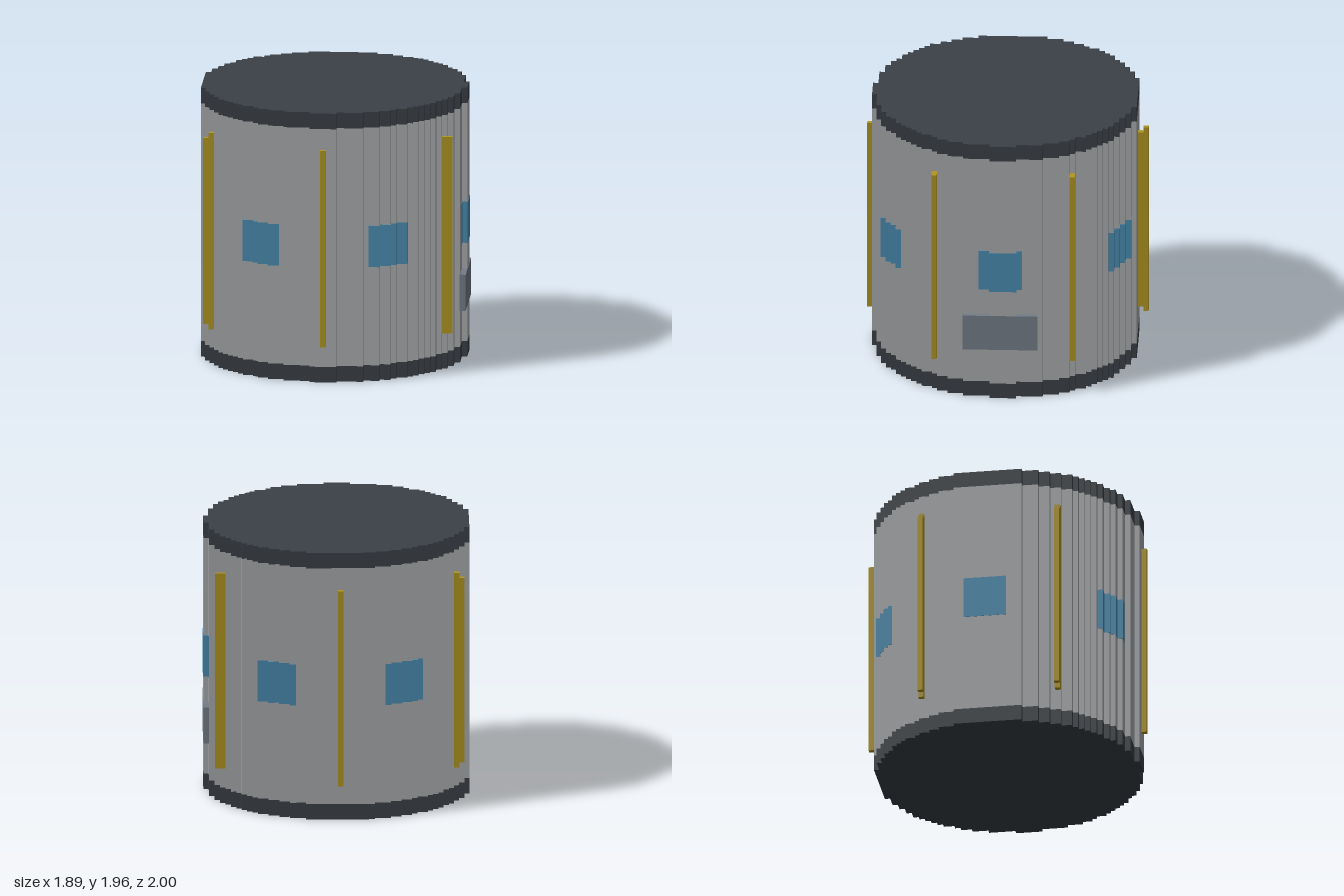
import * as THREE from 'three';

const V = 2 / 53;            // size of one voxel
const OFF = 0.1, R2 = 627;   // centre offset and squared radius of the drum, in voxels

const mat = (name, color) => {
  const m = new THREE.MeshStandardMaterial({ color });
  m.name = name;
  return m;
};

// last cell inside the drum on row k, on the plus or minus side
const reach = (k, side) => {
  const h = Math.sqrt(R2 - (k - OFF) ** 2);
  return side > 0 ? Math.floor(OFF + h) : Math.ceil(OFF - h);
};

// stepped round outline, walked up one side and down the other
function drumShape() {
  const right = [], left = [];
  for (let k = -24; k <= 25; k++) {
    for (const z of [k - 0.5, k + 0.5]) {
      right.push(new THREE.Vector2(reach(k, 1) * V, -z * V));
      left.push(new THREE.Vector2((reach(k, -1) - 1) * V, -z * V));
    }
  }
  return new THREE.Shape([...right, ...left.reverse()]);
}

export function createModel() {
  const model = new THREE.Group();
  model.name = 'voxelDrum';
  const dark = mat('dark cap', 0x3b4047);
  const grey = mat('hull grey', 0xaaacaf);
  const gold = mat('gold rail', 0xb29722);
  const blue = mat('window blue', 0x4a8db2);
  const steel = mat('panel steel', 0x747e88);

  const shape = drumShape();
  const drum = (name, y0, y1, material) => {
    const geo = new THREE.ExtrudeGeometry(shape, { depth: (y1 - y0) * V, bevelEnabled: false });
    geo.rotateX(-Math.PI / 2);
    geo.translate(0, y0 * V, 0);
    const mesh = new THREE.Mesh(geo, material);
    mesh.name = name;
    model.add(mesh);
  };

  // box between voxel edges, optionally grown by a hair
  const box = (parent, name, material, [x0, x1], [y0, y1], [z0, z1], grow = 0) => {
    const geo = new THREE.BoxGeometry((x1 - x0) * V + grow, (y1 - y0) * V, (z1 - z0) * V + grow);
    const mesh = new THREE.Mesh(geo, material);
    mesh.position.set((x0 + x1) / 2 * V, (y0 + y1) / 2 * V, (z0 + z1) / 2 * V);
    mesh.name = name;
    parent.add(mesh);
  };

  // drum and its end caps
  drum('bottomCap', 0, 3, dark);
  drum('hull', 3, 49, grey);
  drum('topCap', 49, 52, dark);

  // six vertical rails
  const full = [7, 45], short = [8, 44];
  box(model, 'frontRail', gold, [-1, 0], full, [25.5, 26.5]);
  box(model, 'backRailOuter', gold, [-1, 0], full, [-26.5, -25.5]);
  box(model, 'backRailInner', gold, [-1, 0], short, [-25.5, -24.5]);
  for (const z of [-13, 13]) {
    const depth = [z - 0.5, z + 0.5];
    box(model, 'leftRail', gold, [21, 23], full, depth);
    box(model, 'rightRailInner', gold, [-23, -22], full, depth);
    box(model, 'rightRailOuter', gold, [-24, -23], short, depth);
  }

  // six windows painted over the outermost cells
  const windowCell = (group, x, z) =>
    box(group, 'windowPane', blue, [x - 1, x], [22, 30], [z - 0.5, z + 0.5], 0.006);
  for (const side of [-1, 1]) {
    const sideWindow = new THREE.Group();
    sideWindow.name = 'sideWindow';
    for (let i = -3; i <= 4; i++) windowCell(sideWindow, reach(i * side, side), i * side);
    model.add(sideWindow);
    for (const end of [-1, 1]) {
      const window = new THREE.Group();
      window.name = end > 0 ? 'frontWindow' : 'backWindow';
      for (let i = 9; i <= 15; i++) windowCell(window, i * side, reach(i * side, end));
      model.add(window);
    }
  }

  // service panel below the side window
  box(model, 'servicePanel', steel, [24, 25], [10, 17], [-6.5, 7.5], 0.004);
  return model;
}
